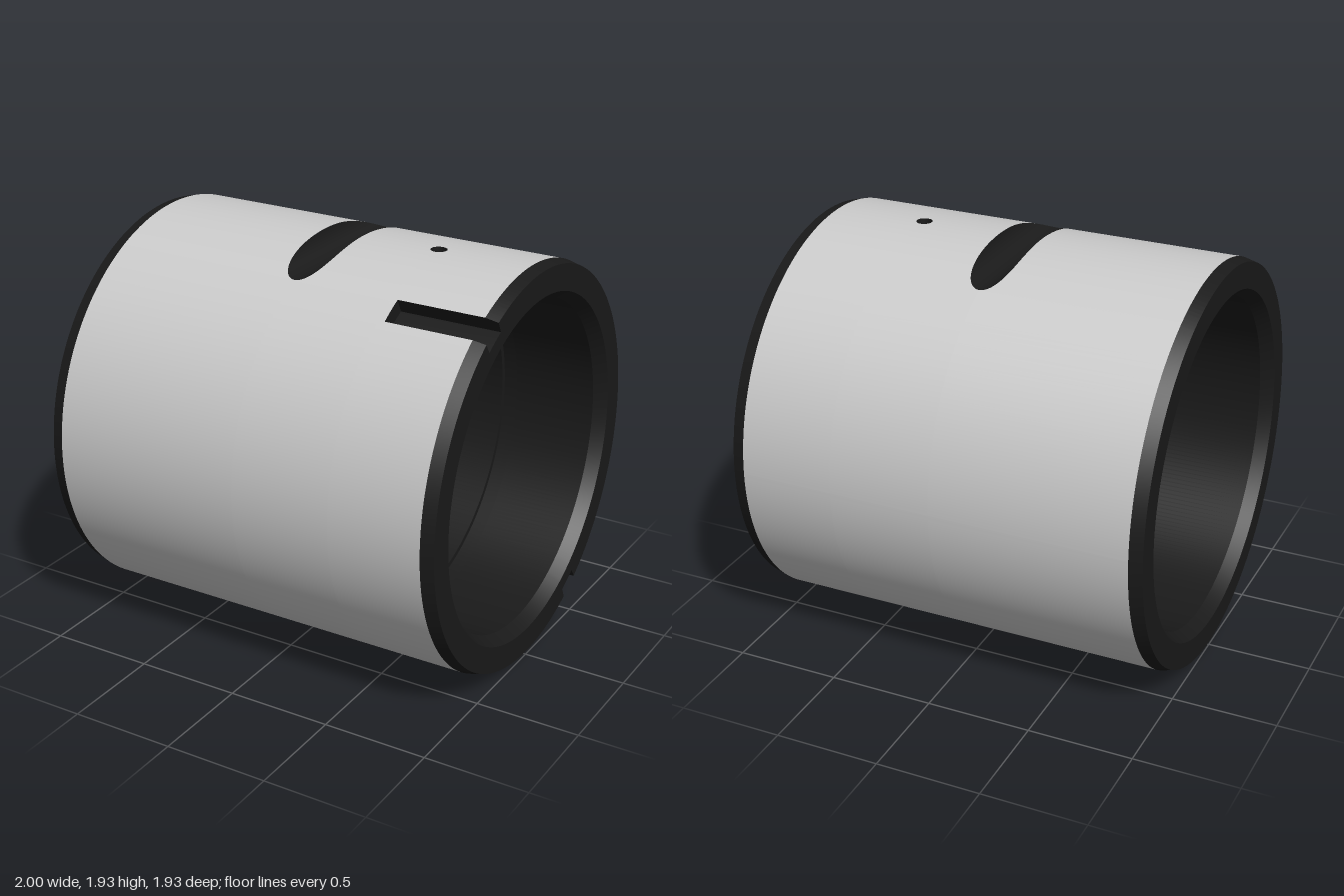
import * as THREE from 'three';
import { mergeGeometries } from 'three/addons/utils/BufferGeometryUtils.js';

const R = 0.965, END_R = 0.95;            // outer radius, radius at the chamfered ends
const BORE = 0.785, MOUTH = 0.825;        // bore radius, flared mouth radius
const GROOVE = 0.81;                      // radius of the inner ring groove
const L = 1, EDGE = 0.94;                 // half length, start of the chamfers
const NOTCH = 0.102;                      // radius of the round cross cut on top
const HOLE = 0.038, HOLE_X = 0.49;        // radial holes, top and bottom
const SLOT_X = 0.52, SLOT_R = 0.895, SLOT_HALF = 0.066;
const SLOTS = [Math.PI / 6, Math.PI * 7 / 6];

// half width along x of the notch and of the holes at angle t (0 = top)
const notchHalf = t => Math.cos(t) < 0 ? 0 : Math.sqrt(Math.max(0, NOTCH ** 2 - (R - R * Math.cos(t)) ** 2));
const holeHalf = (t, r) => Math.sqrt(Math.max(0, HOLE ** 2 - (r * Math.sin(t)) ** 2));
const inSlot = t => SLOTS.some(s => Math.abs(t - s) < SLOT_HALF);
const at = (x, r, t) => [x, r * Math.cos(t), r * Math.sin(t)];

// angles: an even ring plus exact stops at every cut
function makeAngles() {
  const list = [];
  const start = -Math.PI / 2, N = 240;
  for (let i = 0; i <= N; i++) list.push(start + i / N * Math.PI * 2);
  for (let i = 0; i <= 16; i++) {
    const p = i / 16 * Math.PI / 2;
    const n = Math.acos((R - NOTCH * Math.cos(p)) / R);
    list.push(n, -n);
    for (const r of [R, GROOVE]) {
      const h = Math.asin(HOLE * Math.sin(p) / r);
      list.push(h, -h, Math.PI + h, Math.PI - h);
    }
  }
  for (const s of SLOTS) list.push(s - SLOT_HALF, s + SLOT_HALF);
  list.sort((a, b) => a - b);
  return list.filter((t, i) => i === 0 || t - list[i - 1] > 1e-6);
}

function surface(pos, idx) {
  const g = new THREE.BufferGeometry();
  g.setAttribute('position', new THREE.Float32BufferAttribute(pos, 3));
  g.setIndex(idx);
  g.computeVertexNormals();
  return g;
}

// ruled ring between two edges; each edge gives [x, radius] at an angle
function band(angles, a, b, keep = () => true) {
  const pos = [], idx = [];
  angles.forEach((t, i) => {
    pos.push(...at(...a(t), t), ...at(...b(t), t));
    if (i === 0 || !keep((t + angles[i - 1]) / 2)) return;
    const k = 2 * i - 2;
    idx.push(k, k + 2, k + 1, k + 2, k + 3, k + 1);
  });
  return surface(pos, idx);
}

export function createModel() {
  const angles = makeAngles();
  const grey = new THREE.MeshStandardMaterial({ color: 0xcccccc });
  const dark = new THREE.MeshStandardMaterial({ color: 0x1a1a1a, side: THREE.DoubleSide });
  const group = new THREE.Group();
  const add = (name, parts, material) => {
    const mesh = new THREE.Mesh(mergeGeometries(parts), material);
    mesh.name = name;
    mesh.position.y = R;
    group.add(mesh);
  };
  const ring = (p, q, keep) => band(angles, () => p, () => q, keep);
  const solid = t => !inSlot(t);

  // outer skin, split around the notch, holes and slots
  const holeLeft = r => t => [HOLE_X - holeHalf(t, r), r];
  const holeRight = r => t => [HOLE_X + holeHalf(t, r), r];
  add('outerSleeve', [
    band(angles, () => [-EDGE, R], t => [-notchHalf(t), R]),
    band(angles, t => [notchHalf(t), R], holeLeft(R)),
    band(angles, holeRight(R), () => [EDGE, R], solid),
    band(angles, holeRight(R), () => [SLOT_X, R], inSlot),
  ], grey);

  // chamfers and end faces
  add('endFaces', [
    ring([EDGE, R], [L, END_R], solid),
    ring([L, END_R], [L, MOUTH], solid),
    ring([L, SLOT_R], [L, MOUTH], inSlot),
    ring([-L, MOUTH], [-L, END_R]),
    ring([-L, END_R], [-EDGE, R]),
  ], dark);

  // bore with flared mouths and a ring groove that meets the holes
  const g0 = HOLE_X - 0.04, g1 = HOLE_X + 0.04;
  add('bore', [
    ring([L, MOUTH], [EDGE, BORE]),
    ring([EDGE, BORE], [g1, BORE]),
    ring([g1, BORE], [g1, GROOVE]),
    band(angles, () => [g1, GROOVE], holeRight(GROOVE)),
    band(angles, holeLeft(GROOVE), () => [g0, GROOVE]),
    ring([g0, GROOVE], [g0, BORE]),
    ring([g0, BORE], [-EDGE, BORE]),
    ring([-EDGE, BORE], [-L, MOUTH]),
  ], dark);

  // key slots open to the right-hand end: floor, end wall and two sides
  const slotParts = [
    ring([SLOT_X, SLOT_R], [L, SLOT_R], inSlot),
    ring([SLOT_X, R], [SLOT_X, SLOT_R], inSlot),
  ];
  const side = [[SLOT_X, SLOT_R], [L, SLOT_R], [L, END_R], [EDGE, R], [SLOT_X, R]];
  for (const s of SLOTS) for (const d of [-1, 1]) {
    const pos = side.flatMap(([x, r]) => at(x, r, s + d * SLOT_HALF));
    const idx = [0, 1, 2, 0, 2, 3, 0, 3, 4];
    slotParts.push(surface(pos, d < 0 ? idx : idx.reverse()));
  }
  add('keySlots', slotParts, dark);

  // round trough across the top
  const pos = [], idx = [], M = 48;
  for (let i = 0; i <= M; i++) {
    const p = (i / M - 0.5) * Math.PI;
    const x = NOTCH * Math.sin(p), y = R - NOTCH * Math.cos(p);
    const z = Math.sqrt(Math.max(0, R * R - y * y));
    pos.push(x, y, -z, x, y, z);
    if (i < M) idx.push(2 * i, 2 * i + 1, 2 * i + 2, 2 * i + 1, 2 * i + 3, 2 * i + 2);
  }
  add('topNotch', [surface(pos, idx)], dark);

  // walls of the two radial holes
  add('radialHoles', [1, -1].map(s =>
    new THREE.CylinderGeometry(HOLE, HOLE, R - GROOVE, 32, 1, true)
      .translate(HOLE_X, s * (R + GROOVE - 0.001) / 2, 0)), dark);

  return group;
}
